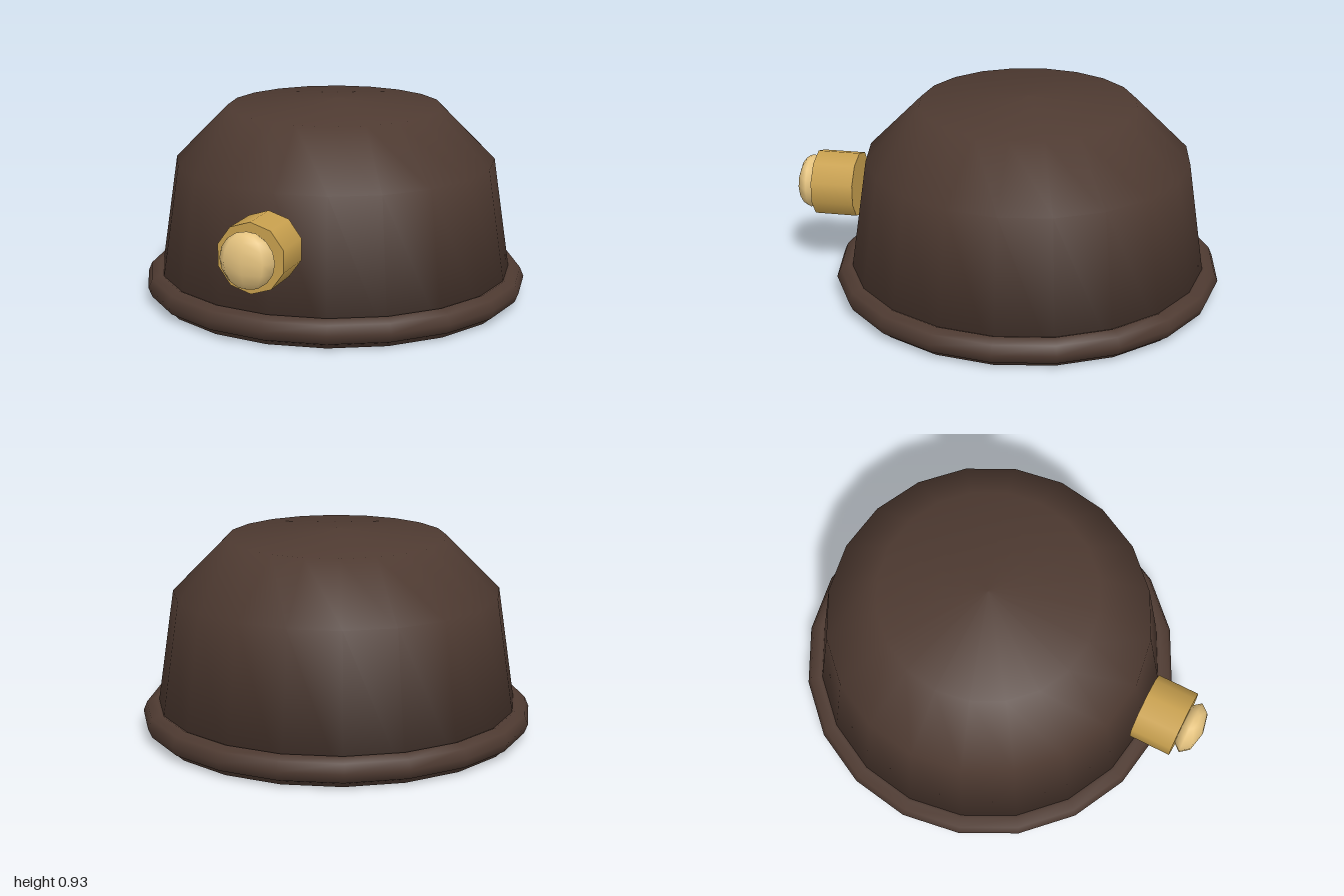
import * as THREE from 'three';

export function createModel() {
  const model = new THREE.Group();
  const material = (name, color) => {
    const m = new THREE.MeshStandardMaterial({ color });
    m.name = name;
    return m;
  };
  const leather = material('dark brown leather', 0x4e3a31);
  const brass = material('brass', 0xc8a04e);
  const glass = material('pale amber glass', 0xe6c480);

  const add = (name, geometry, mat, x, y, z) => {
    const mesh = new THREE.Mesh(geometry, mat);
    mesh.name = name;
    mesh.position.set(x, y, z);
    model.add(mesh);
    return mesh;
  };

  const centreZ = -0.105;
  const sides = 20;

  // Smooth closed shell: base, tapering wall, sloped shoulder, shallow crown
  const profile = [[0, 0], [0.845, 0], [0.748, 0.645], [0.5, 0.895], [0, 0.93]]
    .map(([r, y]) => new THREE.Vector2(r, y));
  add('helmetShell', new THREE.LatheGeometry(profile, sides), leather, 0, 0, centreZ);

  // Rolled brim around the base
  const brim = new THREE.TorusGeometry(0.84, 0.06, 8, sides).rotateX(Math.PI / 2);
  add('brim', brim, leather, 0, 0.073, centreZ);

  // Lamp on the front: ten-sided housing and a flattened lens
  const housing = new THREE.CylinderGeometry(0.156, 0.156, 0.2, 10).rotateX(Math.PI / 2);
  add('lampHousing', housing, brass, 0, 0.432, 0.802);

  const lens = new THREE.SphereGeometry(0.125, 8, 8).scale(1, 1, 0.5);
  add('lampLens', lens, glass, 0, 0.432, 0.9375);

  return model;
}
